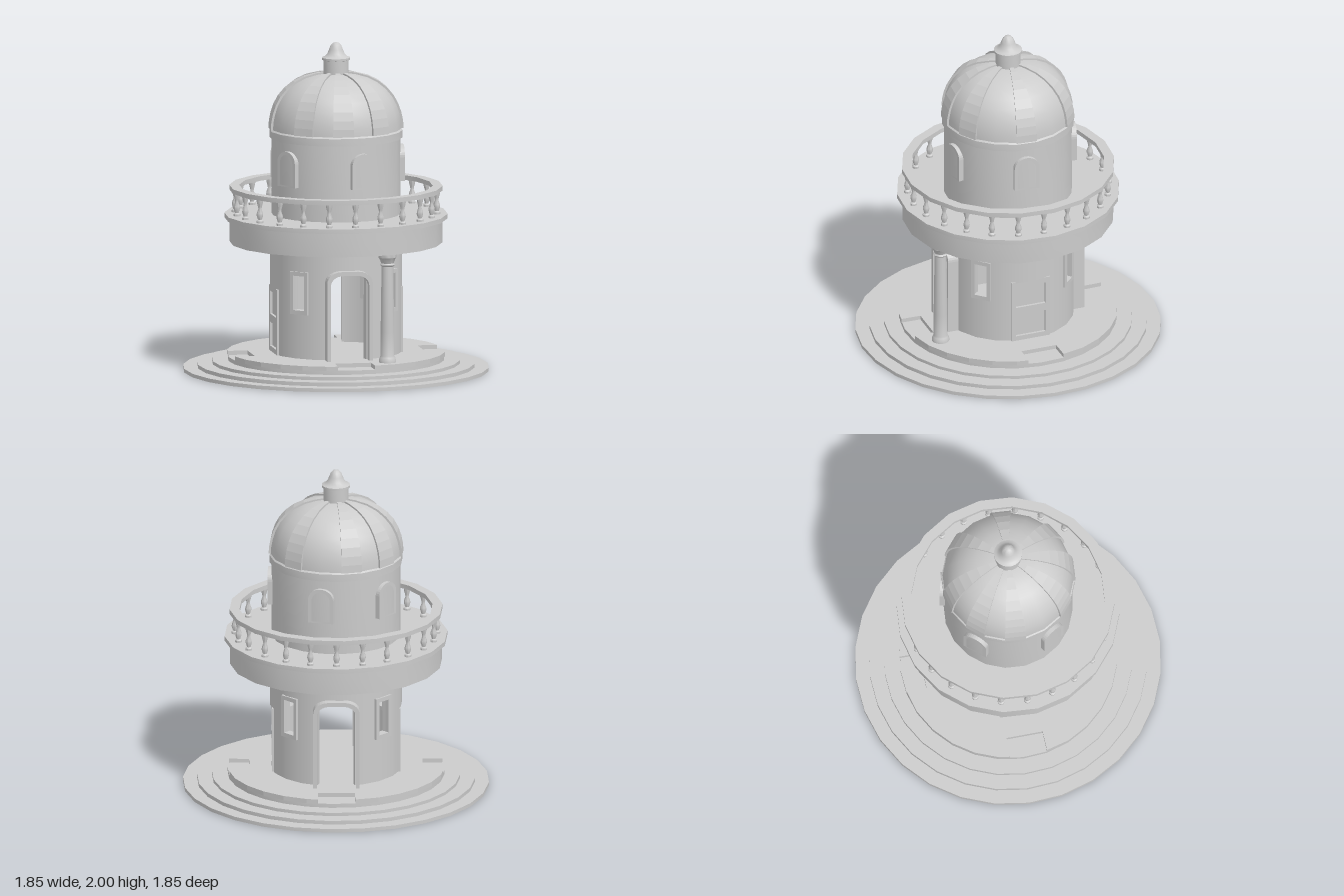
import * as THREE from 'three';
import { mergeGeometries, toCreasedNormals } from 'three/addons/utils/BufferGeometryUtils.js';

const DEG = Math.PI / 180, SIDES = 20;
const material = new THREE.MeshStandardMaterial({ color: 0xcccccc });

export function createModel() {
  const model = new THREE.Group();

  const add = (name, geometry, parent = model) => {
    const mesh = new THREE.Mesh(geometry, material);
    mesh.name = name;
    parent.add(mesh);
    return mesh;
  };
  // Turned part from a profile of [radius, height], running upwards on the outside
  const turned = (profile, sides = SIDES) => toCreasedNormals(
    new THREE.LatheGeometry(profile.map(p => new THREE.Vector2(...p)), sides), 0.6);
  // Group facing outwards at an azimuth (degrees from the front towards +x)
  const facing = (name, azimuth) => {
    const g = new THREE.Group();
    g.name = name;
    g.rotation.y = azimuth * DEG;
    model.add(g);
    return g;
  };
  const extruded = (shape, back, front) => new THREE.ExtrudeGeometry(shape,
    { depth: front - back, bevelEnabled: false }).translate(0, 0, back);
  // Outline from lower left over a rounded top to lower right
  const archPoints = (half, y0, y1, rx, ry) => {
    const pts = [new THREE.Vector2(-half, y0)];
    for (const s of [-1, 1]) for (let i = 0; i <= 8; i++) {
      const t = (s < 0 ? i : 8 - i) / 8 * Math.PI / 2;
      pts.push(new THREE.Vector2(s * (half - rx + rx * Math.cos(t)), y1 - ry + ry * Math.sin(t)));
    }
    pts.push(new THREE.Vector2(half, y0));
    return pts;
  };
  const rectPoints = (x0, x1, y0, y1) =>
    [[x0, y0], [x1, y0], [x1, y1], [x0, y1]].map(p => new THREE.Vector2(...p));
  const holed = (outer, ...holes) => {
    const shape = new THREE.Shape(outer);
    shape.holes = holes.map(h => new THREE.Path(h));
    return shape;
  };
  // Block in cylindrical space: at(az side, top side, outer side) gives [radius, height]
  const block = (a0, a1, at, smooth) => {
    const g = new THREE.BoxGeometry(2, 2, 2), p = g.attributes.position;
    for (let i = 0; i < p.count; i++) {
      const a = (p.getX(i) < 0 ? a0 : a1) * DEG;
      const [r, y] = at(p.getX(i) > 0, p.getY(i) > 0, p.getZ(i) > 0);
      p.setXYZ(i, r * Math.sin(a), y, r * Math.cos(a));
    }
    g.computeVertexNormals();
    if (smooth) for (let i = 16; i < 24; i++) {
      const s = i < 20 ? 1 : -1, v = new THREE.Vector3(p.getX(i), 0, p.getZ(i)).normalize();
      g.attributes.normal.setXYZ(i, s * v.x, 0, s * v.z);
    }
    return g;
  };

  // Round steps
  [[0.925, 0, 0.022], [0.84, 0.022, 0.045], [0.75, 0.045, 0.065], [0.655, 0.065, 0.09]].forEach(([r, y0, y1], i) =>
    add('step' + (i + 1), turned([[0, y0], [r, y0], [r, y1], [0, y1]], 28)));

  // Floor with a notch in front of each entrance
  const floor = [], entrances = [67.5, 157.5, 247.5, 337.5];
  const polar = (r, a) => new THREE.Vector2(r * Math.sin(a * DEG), -r * Math.cos(a * DEG));
  const rim = Array.from({ length: 28 }, (_, i) => ({ a: i * 360 / 28 }))
    .filter(v => entrances.every(e => Math.abs(v.a - e) > 10));
  entrances.forEach(a => rim.push({ a, notch: true }));
  rim.sort((u, v) => u.a - v.a).forEach(({ a, notch }) => {
    if (notch) floor.push(polar(0.655, a - 10), polar(0.535, a - 12), polar(0.535, a + 12), polar(0.655, a + 10));
    else floor.push(polar(0.66, a));
  });
  add('notchedFloor', extruded(new THREE.Shape(floor), 0.088, 0.115).rotateX(-Math.PI / 2));

  // Ground floor wall, in narrow strips that leave the openings free
  const radius = a => 0.4 * Math.cos(9 * DEG) / Math.cos((((a % 18) + 18) % 18 - 9) * DEG);
  const archTop = o => {
    const t = Math.min(1, Math.max(0, (0.4 * Math.sin(Math.abs(o) * DEG) - 0.045) / 0.075));
    return 0.64 - 0.06 * (1 - Math.sqrt(1 - t * t));
  };
  const strips = [], WALL_BASE = 0.1, WALL_TOP = 0.87;
  for (let a = 0; a < 360; a += 1.5) {
    const b = a + 1.5, mid = a + 0.75;
    const strip = (lowA, lowB, top) => strips.push(block(a, b, (right, up, out) =>
      [radius(right ? b : a) - (out ? 0 : 0.035), up ? top : right ? lowB : lowA], true));
    const offset = c => ((mid - c + 540) % 180 + 180) % 180;
    const near = (c, w) => { const d = offset(c); return Math.min(d, 180 - d) < w; };
    if (near(157.5, 16.5)) {
      const d = offset(157.5), o = d > 90 ? d - 180 : d;
      strip(archTop(o - 0.75), archTop(o + 0.75), WALL_TOP);
    } else if (near(67.5, 18)) strip(0.51, 0.51, WALL_TOP);
    else if (near(22.5, 6) || near(112.5, 6)) {
      strip(WALL_BASE, WALL_BASE, 0.41);
      strip(0.62, 0.62, WALL_TOP);
    } else strip(WALL_BASE, WALL_BASE, WALL_TOP);
  }
  add('groundFloorWall', mergeGeometries(strips));

  // Archway surrounds
  const surround = new THREE.Shape([...archPoints(0.14, 0.1, 0.66, 0.09, 0.07),
    ...archPoints(0.118, 0.1, 0.635, 0.075, 0.06).reverse()]);
  for (const a of [-22.5, 157.5]) add('archSurround', extruded(surround, 0.35, 0.44), facing('archway', a));

  // Panelled doors
  for (const a of [67.5, 247.5]) {
    const door = facing('door', a);
    add('doorFrame', extruded(holed(rectPoints(-0.125, 0.125, 0.1, 0.515),
      rectPoints(-0.095, 0.095, 0.145, 0.29), rectPoints(-0.095, 0.095, 0.34, 0.48)), 0.36, 0.388), door);
    add('doorPanel', new THREE.BoxGeometry(0.22, 0.4, 0.02).translate(0, 0.31, 0.362), door);
  }

  // Open ground floor windows
  const windowFrame = holed(rectPoints(-0.063, 0.063, 0.385, 0.645), rectPoints(-0.04, 0.04, 0.41, 0.62));
  for (const a of [22.5, 112.5, 202.5, 292.5])
    add('windowFrame', extruded(windowFrame, 0.355, 0.407), facing('window', a));

  // Porch column
  add('column', turned([[0, 0.11], [0.053, 0.11], [0.053, 0.13], [0.046, 0.145], [0.042, 0.155], [0.042, 0.3],
    [0.036, 0.7], [0.045, 0.71], [0.038, 0.72], [0.05, 0.75], [0.055, 0.755], [0.055, 0.785], [0, 0.785]], 16))
    .position.z = 0.56;

  // Balcony with a ring beam below
  add('balcony', turned([[0, 0.86], [0.53, 0.86], [0.53, 0.78], [0.643, 0.78], [0.643, 0.927],
    [0.675, 0.927], [0.675, 0.955], [0, 0.955]]));
  add('handrail', turned([[0.585, 1.097], [0.645, 1.097], [0.645, 1.125], [0.585, 1.125], [0.585, 1.097]]));
  const baluster = turned([[0, 0.95], [0.021, 0.95], [0.021, 0.967], [0.012, 0.975], [0.02, 1.0], [0.019, 1.015],
    [0.01, 1.04], [0.012, 1.055], [0.019, 1.08], [0.021, 1.1], [0, 1.1]], 8);
  for (let i = 0; i < 24; i++)
    add('baluster', baluster, facing('balusterMount', 7.5 + i * 15)).position.z = 0.61;

  // Upper drum with cornice
  add('drum', turned([[0, 0.94], [0.39, 0.94], [0.39, 1.42], [0.402, 1.42], [0.402, 1.465], [0.385, 1.48], [0, 1.48]]));

  // Round-headed upper windows
  const upperFrame = holed(archPoints(0.078, 1.155, 1.37, 0.078, 0.07), archPoints(0.056, 1.165, 1.35, 0.056, 0.055));
  for (const a of [-9, 63, 144, 207, 279])
    add('upperWindowFrame', extruded(upperFrame, 0.35, 0.41), facing('upperWindow', a));

  // Dome with raised gores
  const dome = [[0.395, 1.475], [0.392, 1.52], [0.382, 1.57], [0.365, 1.62], [0.338, 1.67], [0.3, 1.715],
    [0.25, 1.755], [0.19, 1.785], [0.12, 1.803], [0.06, 1.81]];
  add('dome', turned([[0, 1.475], ...dome, [0, 1.81]]));
  const gore = [];
  for (let i = 0; i < dome.length - 1; i++) gore.push(block(0, 18, (right, up, out) => {
    const [r, y] = dome[up ? i + 1 : i];
    return out ? [r * 1.035, 1.475 + (y - 1.475) * 1.03] : [r * 0.97, y - 0.01 * (i > 0 || up)];
  }));
  const goreGeometry = mergeGeometries(gore);
  for (const a of [-126, -72, -36, 0, 54, 108, 162, 198]) add('raisedGore', goreGeometry, facing('goreMount', a));

  // Lantern and finial
  add('lantern', turned([[0, 1.79], [0.077, 1.79], [0.077, 1.89], [0.086, 1.893], [0.086, 1.906], [0.07, 1.912],
    [0.052, 1.93], [0.042, 1.955], [0.032, 1.98], [0.018, 1.995], [0, 2]], 20));

  return model;
}
